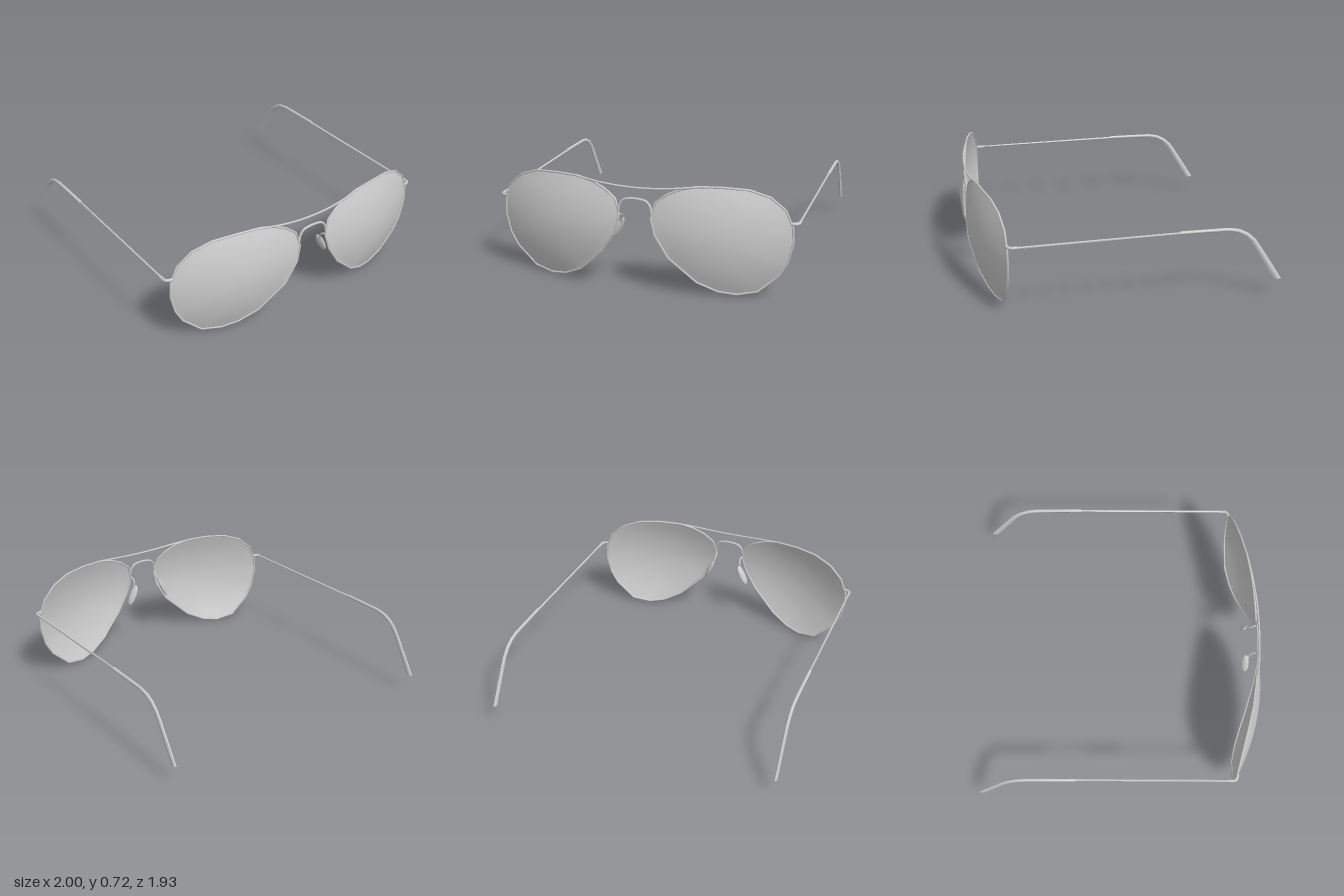
import * as THREE from 'three';
import { toCreasedNormals } from 'three/addons/utils/BufferGeometryUtils.js';

const V = (x, y, z) => new THREE.Vector3(x, y, z);

// Curved surface that both lenses and rims follow
const lensZ = (x, y) => 0.965 - 0.39 * (x - 0.27) ** 2 - 0.6 * (y - 0.4) ** 2;

// Teardrop outline of the +x lens, counter-clockwise seen from the front
const OUTLINE = [
  [0.96, 0.37], [0.955, 0.475], [0.91, 0.58], [0.82, 0.66], [0.695, 0.705], [0.545, 0.717],
  [0.385, 0.715], [0.29, 0.695], [0.2, 0.655], [0.13, 0.6], [0.103, 0.5], [0.13, 0.395],
  [0.215, 0.255], [0.385, 0.095], [0.51, 0.032], [0.62, 0.012], [0.75, 0.035], [0.88, 0.155], [0.93, 0.245],
];

function lensGeometry() {
  const rings = 6, n = OUTLINE.length, cx = 0.53, cy = 0.39;
  const pos = [cx, cy, lensZ(cx, cy)], idx = [];
  for (let r = 1; r <= rings; r++) {
    for (const [px, py] of OUTLINE) {
      const x = cx + (px - cx) * r / rings, y = cy + (py - cy) * r / rings;
      pos.push(x, y, lensZ(x, y));
    }
  }
  for (let i = 0; i < n; i++) {
    const j = (i + 1) % n;
    idx.push(0, 1 + i, 1 + j);
    for (let r = 0; r < rings - 1; r++) {
      const a = 1 + r * n, b = a + n;
      idx.push(a + i, b + i, b + j, a + i, b + j, a + j);
    }
  }
  const g = new THREE.BufferGeometry();
  g.setAttribute('position', new THREE.Float32BufferAttribute(pos, 3));
  g.setIndex(idx);
  g.computeVertexNormals();
  return g;
}

// Thin wire following the outline, one segment per outline point
function rimGeometry() {
  const curve = new THREE.CatmullRomCurve3(OUTLINE.map(([x, y]) => V(x, y, lensZ(x, y))), true);
  curve.getUtoTmapping = (u) => u;
  return new THREE.TubeGeometry(curve, OUTLINE.length, 0.007, 6, true);
}

const wire = (points, radius, segments = 20) =>
  new THREE.TubeGeometry(new THREE.CatmullRomCurve3(points), segments, radius, 6);

// Capped bar in a plane of constant x; each station is [z, y, half height, slant of section]
function barGeometry(x, halfWidth, stations, sides = 10) {
  const pos = [], idx = [];
  const ring = ([z, y, h, slant], s) => {
    for (let i = 0; i < sides; i++) {
      const a = i / sides * Math.PI * 2, u = Math.sin(a) * h * s;
      pos.push(x + Math.cos(a) * halfWidth * s, y + u * Math.cos(slant), z + u * Math.sin(slant));
    }
  };
  ring(stations[0], 0);
  stations.forEach((st) => ring(st, 1));
  ring(stations[stations.length - 1], 0);
  for (let r = 0; r <= stations.length; r++) {
    for (let i = 0; i < sides; i++) {
      const j = (i + 1) % sides, a = r * sides, b = a + sides;
      idx.push(a + i, a + j, b + j, a + i, b + j, b + i);
    }
  }
  const g = new THREE.BufferGeometry();
  g.setAttribute('position', new THREE.Float32BufferAttribute(pos, 3));
  g.setIndex(idx);
  // Turn the winding outwards (sections advance towards -z)
  for (let k = 0; k < idx.length; k += 3) [idx[k + 1], idx[k + 2]] = [idx[k + 2], idx[k + 1]];
  g.setIndex(idx);
  return toCreasedNormals(g, 0.8);
}

function mirrored(geometry) {
  const g = geometry.index ? geometry.toNonIndexed() : geometry.clone();
  for (const attr of Object.values(g.attributes)) {
    const s = attr.itemSize;
    for (let i = 0; i < attr.count; i += 3) {
      for (let k = 0; k < s; k++) {
        const p = (i + 1) * s + k, q = (i + 2) * s + k;
        [attr.array[p], attr.array[q]] = [attr.array[q], attr.array[p]];
      }
    }
  }
  for (const name of ['position', 'normal']) {
    const attr = g.attributes[name];
    for (let i = 0; i < attr.count; i++) attr.setX(i, -attr.getX(i));
  }
  return g;
}

export function createModel() {
  const model = new THREE.Group();
  model.name = 'sunglasses';
  const grey = new THREE.MeshStandardMaterial({ color: 0xcccccc, side: THREE.DoubleSide });
  const add = (name, geometry) => {
    const mesh = new THREE.Mesh(geometry, grey);
    mesh.name = name;
    model.add(mesh);
  };
  const addPair = (name, geometry) => {
    add('left' + name, geometry);
    add('right' + name, mirrored(geometry));
  };

  // Lenses and rims
  addPair('Lens', lensGeometry());
  addPair('Rim', rimGeometry());

  // Brow bar and arched bridge
  add('browBar', wire([
    V(-0.4, 0.715, 0.9), V(-0.26, 0.699, 0.925), V(-0.12, 0.688, 0.937), V(0, 0.685, 0.94),
    V(0.12, 0.688, 0.937), V(0.26, 0.699, 0.925), V(0.4, 0.715, 0.9)], 0.007, 24));
  add('bridge', wire([
    V(-0.108, 0.53, 0.945), V(-0.1, 0.57, 0.942), V(-0.075, 0.602, 0.94), V(-0.035, 0.613, 0.94),
    V(0.035, 0.613, 0.94), V(0.075, 0.602, 0.94), V(0.1, 0.57, 0.942), V(0.108, 0.53, 0.945)], 0.008, 32));

  // Nose pads on bent wire arms
  const pad = new THREE.SphereGeometry(1, 12, 10);
  pad.scale(0.014, 0.08, 0.028).rotateY(0.5).rotateZ(0.45).translate(0.134, 0.39, 0.873);
  addPair('NosePad', pad);
  addPair('NosePadArm', wire([
    V(0.105, 0.51, 0.948), V(0.097, 0.5, 0.925), V(0.1, 0.475, 0.9), V(0.112, 0.44, 0.89),
    V(0.134, 0.4, 0.876)], 0.006));

  // Hinge elbows from the rims to the temples
  const hinge = wire([
    V(0.945, 0.497, 0.783), V(0.97, 0.497, 0.777), V(0.986, 0.497, 0.763), V(0.989, 0.497, 0.72)], 0.011, 12);
  addPair('Hinge', hinge);

  // Slim temple arms with thicker, drooping ear tips
  addPair('Temple', barGeometry(0.989, 0.007, [[0.765, 0.497, 0.007, 0], [-0.3, 0.503, 0.007, 0]], 8));
  addPair('EarTip', barGeometry(0.989, 0.011, [
    [-0.285, 0.504, 0.011, 0], [-0.45, 0.502, 0.011, 0], [-0.6, 0.499, 0.012, -0.05],
    [-0.665, 0.485, 0.014, -0.4], [-0.72, 0.455, 0.016, -0.65], [-0.765, 0.412, 0.018, -0.9],
    [-0.8, 0.36, 0.019, -1.03], [-0.9, 0.2, 0.021, -1.05], [-0.943, 0.131, 0.024, -1.5]]));

  return model;
}
